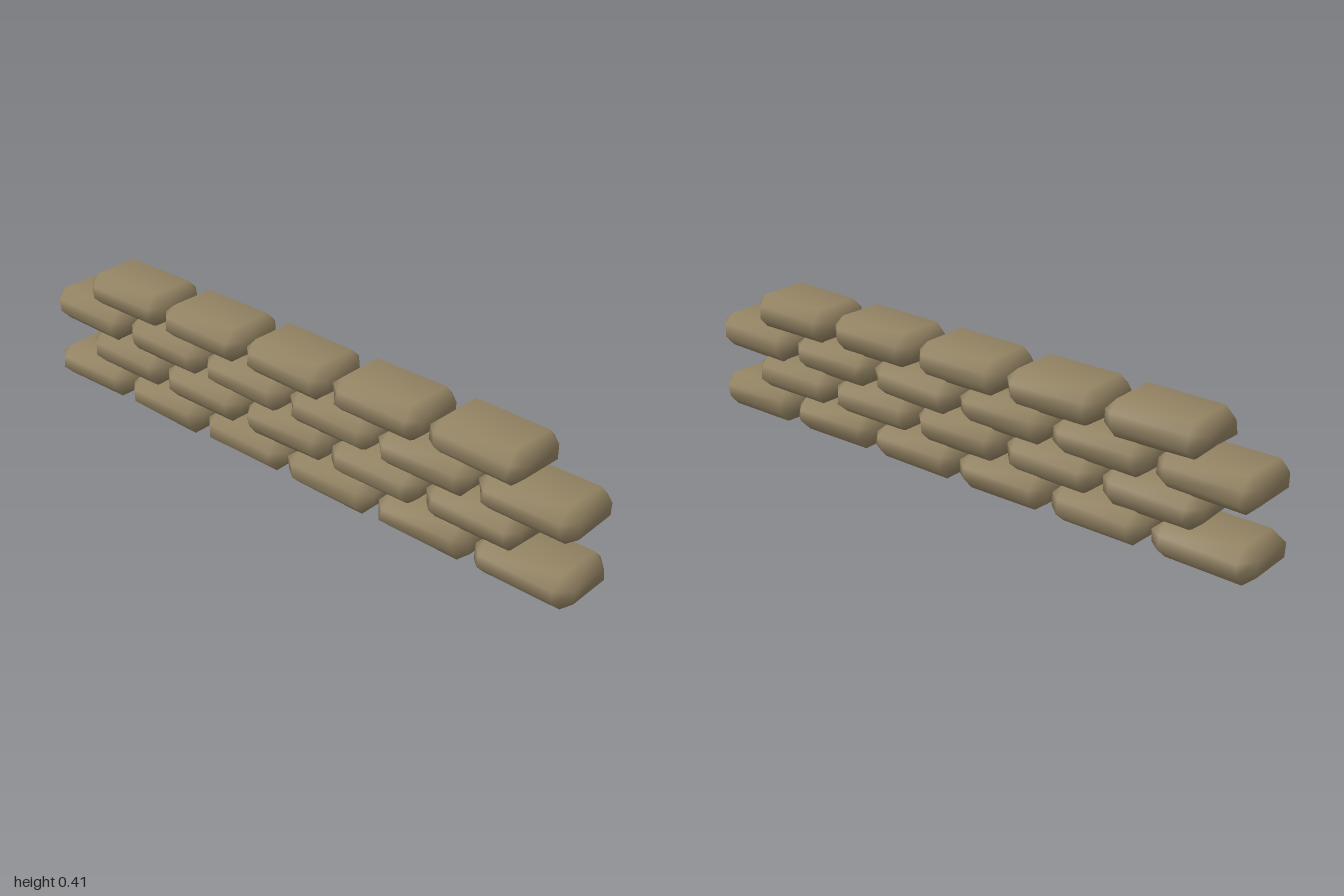
import * as THREE from 'three';

const burlap = new THREE.MeshStandardMaterial({ color: 0x94846a, side: THREE.DoubleSide });
burlap.name = 'burlap';
burlap.color.set(0x938363);

// small seeded generator for the uneven sack shapes
function seeded(seed) {
  let s = seed;
  return () => {
    s = (s * 16807) % 2147483647;
    return s / 2147483647;
  };
}

// sack: rectangular top and bottom, two eight-sided rings around the bulging middle
function sackGeometry(rand, openBottom) {
  const jitter = (a) => (rand() - 0.5) * 2 * a;
  const hx = 0.12, hz = 0.072, endX = 0.157, sideZ = 0.105, hy = 0.054, midY = 0.02;
  const rect = [[hx, hz], [-hx, hz], [-hx, -hz], [hx, -hz]];
  const octagon = [
    [endX, hz], [hx, sideZ], [-hx, sideZ], [-endX, hz],
    [-endX, -hz], [-hx, -sideZ], [hx, -sideZ], [endX, -hz],
  ];
  const positions = [], index = [];
  const addRing = (points, y, a) => {
    const start = positions.length / 3;
    points.forEach(([x, z]) => positions.push(x + jitter(a), y + jitter(a * 0.5), z + jitter(a)));
    return start;
  };
  const bottom = addRing(rect, -hy, 0.004);
  const low = addRing(octagon, -midY, 0.005);
  const high = addRing(octagon, midY, 0.005);
  const top = addRing(rect, hy, 0.004);

  for (let i = 0; i < 8; i++) {
    const j = (i + 1) % 8;
    const ci = i >> 1, cj = j >> 1;
    // middle band
    index.push(low + i, high + i, low + j, low + j, high + i, high + j);
    // upper and lower slopes: triangles at corners, quads along sides
    index.push(high + i, top + ci, high + j);
    index.push(low + i, low + j, bottom + ci);
    if (ci !== cj) {
      index.push(high + j, top + ci, top + cj);
      index.push(low + j, bottom + cj, bottom + ci);
    }
  }
  // end caps
  index.push(top, top + 2, top + 1, top, top + 3, top + 2);
  if (!openBottom) index.push(bottom, bottom + 1, bottom + 2, bottom, bottom + 2, bottom + 3);

  // the rings run clockwise from above, so turn every face outward
  for (let k = 0; k < index.length; k += 3) {
    const [a, b, c] = [0, 1, 2].map((n) => new THREE.Vector3().fromArray(positions, index[k + n] * 3));
    const centre = a.clone().add(b).add(c);
    const normal = b.clone().sub(a).cross(c.clone().sub(a));
    if (normal.dot(centre) < 0) [index[k + 1], index[k + 2]] = [index[k + 2], index[k + 1]];
  }

  const geometry = new THREE.BufferGeometry();
  geometry.setAttribute('position', new THREE.Float32BufferAttribute(positions, 3));
  geometry.setIndex(index);
  geometry.computeVertexNormals();
  return geometry;
}

export function createModel() {
  const wall = new THREE.Group();
  wall.name = 'sandbagWall';
  const rand = seeded(4711);
  const pitch = 0.336;
  const rowHeights = [0.06, 0.162, 0.261, 0.362];

  // courses of six and five sacks laid in running bond
  rowHeights.forEach((y, row) => {
    const course = new THREE.Group();
    course.name = `course${row + 1}`;
    const count = row % 2 === 0 ? 6 : 5;
    const shift = row % 2 === 0 ? -0.004 : -0.006;
    for (let i = 0; i < count; i++) {
      const sack = new THREE.Mesh(sackGeometry(rand, row === 0), burlap);
      sack.name = `sandbag${row + 1}_${i + 1}`;
      sack.position.set((i - (count - 1) / 2) * pitch + shift, y, (rand() - 0.5) * 0.006);
      sack.rotation.y = (rand() - 0.5) * 0.04;
      course.add(sack);
    }
    wall.add(course);
  });
  return wall;
}
